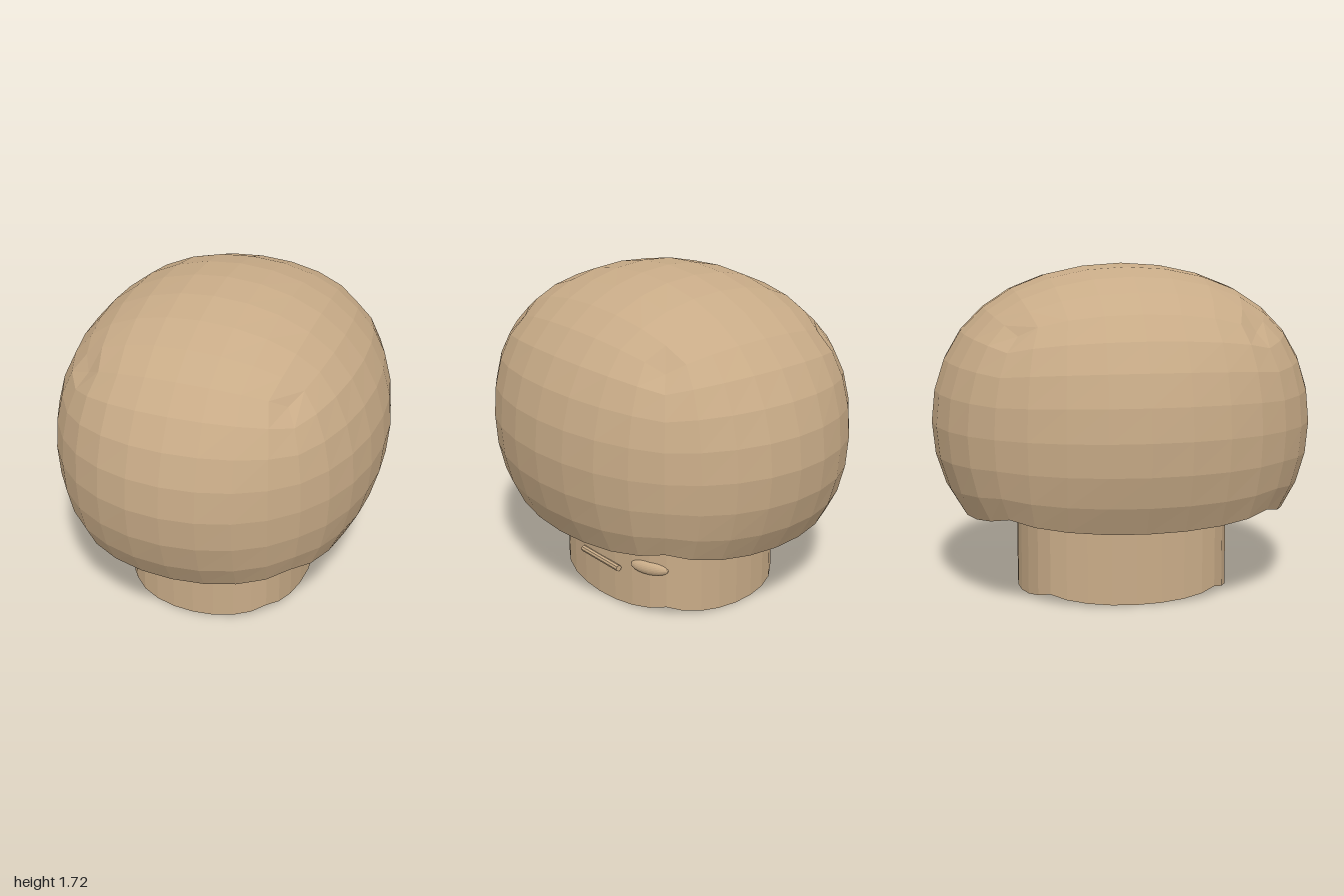
import * as THREE from 'three';

const tan = new THREE.MeshStandardMaterial({ color: 0xc8ab87, flatShading: true, side: THREE.DoubleSide });
tan.name = 'mushroomTan';

// One face of a cube rounded into a ball: distance along the normal and along a tangent
const along = (u, v) => 1 - 0.274 * (u * u + v * v) + 0.1436 * u * u * v * v;
const across = (u, v) => u * (0.826 - 0.1 * u * u - v * v * (0.0584 + 0.072 * u * u));

function facets(points, index) {
  const g = new THREE.BufferGeometry();
  g.setAttribute('position', new THREE.Float32BufferAttribute(points, 3));
  g.setIndex(index);
  const flat = g.toNonIndexed();
  flat.computeVertexNormals();
  return flat;
}

function add(parent, name, geometry) {
  const m = new THREE.Mesh(geometry, tan);
  m.name = name;
  parent.add(m);
  return m;
}

// Hollow dome: four side faces, open below, and a top face
function capGeometry() {
  const points = [], index = [];
  const face = (n, t, up, startRow) => {
    const base = points.length / 3, p = new THREE.Vector3();
    for (let j = startRow; j <= 8; j++) {
      for (let i = 0; i <= 8; i++) {
        const u = i / 4 - 1, v = j / 4 - 1;
        p.set(0, 0, 0).addScaledVector(n, along(u, v))
          .addScaledVector(t, across(u, v)).addScaledVector(up, across(v, u));
        points.push(p.x * 0.855, 0.9 + p.y * 0.815, p.z);
        if (i < 8 && j < 8) {
          const a = base + (j - startRow) * 9 + i;
          index.push(a, a + 1, a + 10, a, a + 10, a + 9);
        }
      }
    }
  };
  const up = new THREE.Vector3(0, 1, 0);
  for (let k = 0; k < 4; k++) {
    const a = k * Math.PI / 2, s = Math.sin(a), c = Math.cos(a);
    face(new THREE.Vector3(s, 0, c), new THREE.Vector3(c, 0, -s), up, 1);
  }
  face(up, new THREE.Vector3(1, 0, 0), new THREE.Vector3(0, 0, -1), 0);
  return facets(points, index);
}

// Rounded-square column whose foot lifts at the four corners
function stemGeometry() {
  const ring = [];
  for (let k = 0; k < 4; k++) {
    const a = k * Math.PI / 2, s = Math.sin(a), c = Math.cos(a);
    for (let i = 0; i < 8; i++) {
      const u = i / 4 - 1, n = along(u, 0.75), t = across(u, 0.75);
      ring.push([(n * s + t * c) * 0.565, (0.577 - across(0.75, u)) * 0.61, (n * c - t * s) * 0.66]);
    }
  }
  const count = ring.length, points = [], index = [];
  ring.forEach(([x, y, z]) => points.push(x, y, z));
  ring.forEach(([x, , z]) => points.push(x, 1.45, z));
  points.push(0, 0.025, 0, 0, 1.45, 0);
  for (let i = 0; i < count; i++) {
    const j = (i + 1) % count;
    index.push(i, j, j + count, i, j + count, i + count);
    index.push(2 * count, j, i, 2 * count + 1, i + count, j + count);
  }
  return facets(points, index);
}

export function createModel() {
  const model = new THREE.Group();
  model.name = 'mushroom';
  add(model, 'cap', capGeometry());
  add(model, 'stem', stemGeometry());

  // Face on the +x side of the stem
  for (const side of [1, -1]) {
    const eye = add(model, side > 0 ? 'frontEye' : 'backEye', new THREE.SphereGeometry(1, 24, 14));
    eye.scale.set(0.036, 0.04, 0.108);
    eye.position.set(0.405, 0.252, 0.34 * side);
    eye.rotation.y = -0.44 * side;
  }
  const mouth = add(model, 'mouth', new THREE.CylinderGeometry(0.017, 0.017, 0.31, 8));
  mouth.rotation.x = Math.PI / 2;
  mouth.position.set(0.484, 0.207, -0.025);
  return model;
}
